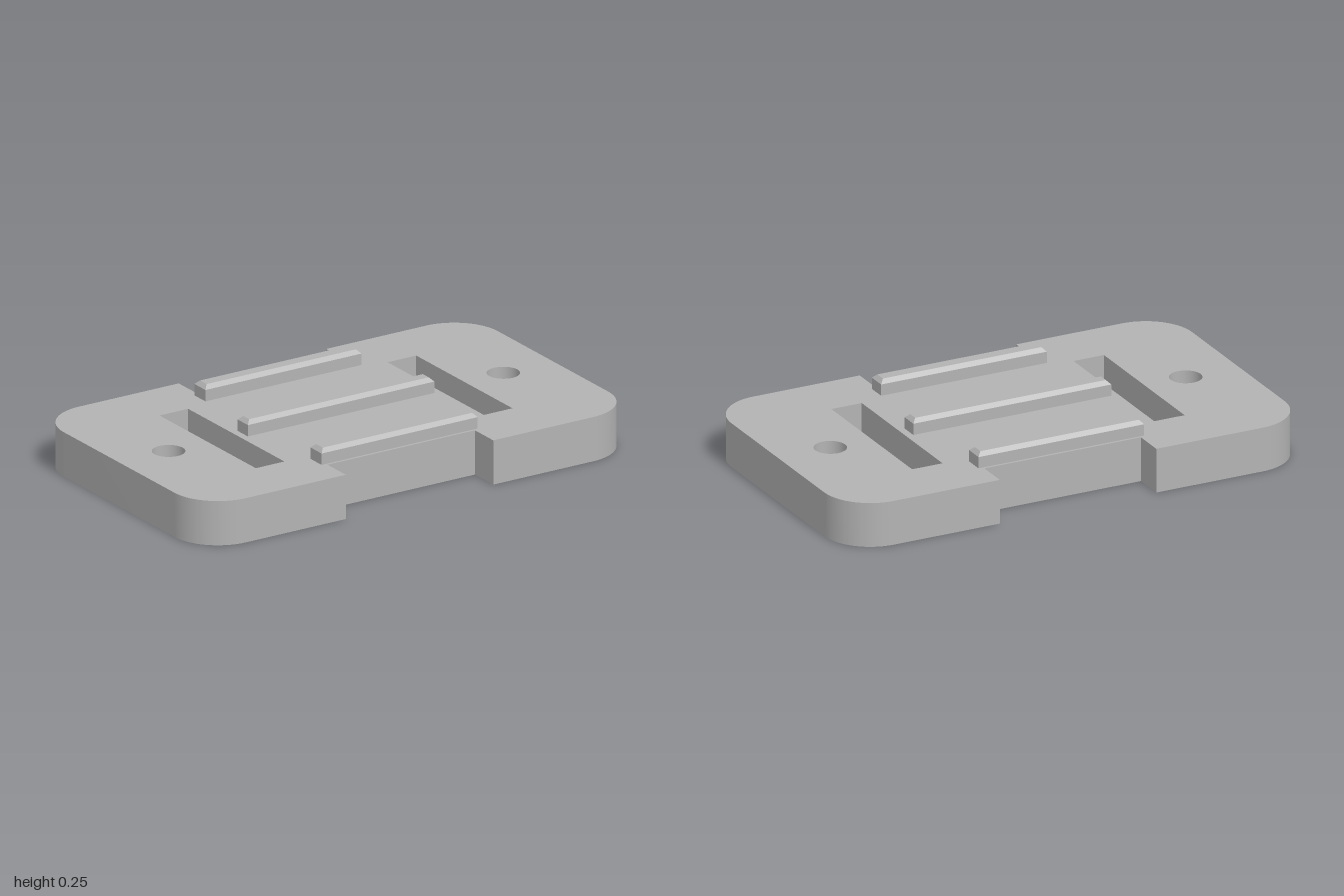
import * as THREE from 'three';
import { toCreasedNormals } from 'three/addons/utils/BufferGeometryUtils.js';

const W = 1, D = 0.59, H = 0.183, R = 0.2;

// Plan outlines use (x, z) as their two coordinates
function polygon(points) {
  return new THREE.Shape(points.map(([x, z]) => new THREE.Vector2(x, z)));
}

function circle(x, z, r) {
  return new THREE.Shape().absarc(x, z, r, 0, Math.PI * 2, false);
}

// Rounded rectangle with a notch in the front and back edges
function plateOutline() {
  const n = 0.34, d = 0.46;
  const s = new THREE.Shape();
  s.moveTo(-W + R, -D);
  s.lineTo(-n, -D).lineTo(-n, -d).lineTo(n, -d).lineTo(n, -D).lineTo(W - R, -D);
  s.absarc(W - R, -D + R, R, -Math.PI / 2, 0, false);
  s.absarc(W - R, D - R, R, 0, Math.PI / 2, false);
  s.lineTo(n, D).lineTo(n, d).lineTo(-n, d).lineTo(-n, D).lineTo(-W + R, D);
  s.absarc(-W + R, D - R, R, Math.PI / 2, Math.PI, false);
  s.absarc(-W + R, -D + R, R, Math.PI, Math.PI * 1.5, false);
  return s;
}

// Vertical wall along an outline; faces outward, or inward for a hole
function wall(shape, y0, y1, isHole) {
  const pts = shape.getPoints(16).filter((p, i, all) => p.distanceTo(all[(i + 1) % all.length]) > 1e-5);
  if (THREE.ShapeUtils.isClockWise(pts) !== isHole) pts.reverse();
  const pos = [];
  pts.forEach((a, i) => {
    const b = pts[(i + 1) % pts.length];
    pos.push(a.x, y0, a.y, a.x, y1, a.y, b.x, y1, b.y);
    pos.push(a.x, y0, a.y, b.x, y1, b.y, b.x, y0, b.y);
  });
  const g = new THREE.BufferGeometry();
  g.setAttribute('position', new THREE.Float32BufferAttribute(pos, 3));
  return toCreasedNormals(g, 0.6);
}

// Flat face with holes, looking up or down
function face(shape, holes, y, up) {
  const s = shape.clone();
  s.holes = holes;
  return new THREE.ShapeGeometry(s, 16).rotateX(up ? -Math.PI / 2 : Math.PI / 2).translate(0, y, 0);
}

// Bar with a chamfered top edge all around
function railGeometry(length, width, height, chamfer) {
  const g = new THREE.BoxGeometry(length, height, width, 1, 2, 1).toNonIndexed();
  const p = g.attributes.position;
  for (let i = 0; i < p.count; i++) {
    const y = p.getY(i);
    if (y > height / 4) {
      p.setX(i, p.getX(i) - Math.sign(p.getX(i)) * chamfer);
      p.setZ(i, p.getZ(i) - Math.sign(p.getZ(i)) * chamfer);
    } else if (y > -height / 4) {
      p.setY(i, height / 2 - chamfer);
    }
  }
  g.computeVertexNormals();
  return g.translate(0, height / 2, 0);
}

export function createModel() {
  const model = new THREE.Group();
  model.name = 'mountingPlate';
  const grey = new THREE.MeshStandardMaterial({ color: 0xb3b3b3 });
  grey.name = 'grey';

  const add = (name, geometry, parent = model) => {
    const mesh = new THREE.Mesh(geometry, grey);
    mesh.name = name;
    parent.add(mesh);
    return mesh;
  };

  // Openings that pass right through: strap slots and screw holes
  const through = [];
  for (const s of [-1, 1]) {
    through.push(polygon([[s * 0.46, -0.34], [s * 0.592, -0.34], [s * 0.592, 0.34], [s * 0.46, 0.34]]));
    through.push(circle(s * 0.772, 0, 0.065));
  }

  // Recesses in the underside: four round sockets and an arrow
  const recesses = [];
  for (const x of [-0.467, 0.467]) {
    for (const z of [-0.466, 0.466]) {
      recesses.push({ name: 'roundSocket', shape: circle(x, z, 0.052), depth: 0.1 });
    }
  }
  recesses.push({
    name: 'arrowRecess',
    depth: 0.04,
    shape: polygon([
      [0.665, 0.27], [0.785, 0.27], [0.785, 0.215], [0.935, 0.325],
      [0.785, 0.435], [0.785, 0.38], [0.665, 0.38],
    ]),
  });

  // Plate body
  const plate = new THREE.Group();
  plate.name = 'plate';
  model.add(plate);
  const outline = plateOutline();
  add('plateTop', face(outline, through, H, true), plate);
  add('plateBottom', face(outline, [...through, ...recesses.map((r) => r.shape)], 0, false), plate);
  add('plateEdge', wall(outline, 0, H, false), plate);
  through.forEach((s) => add('openingWall', wall(s, 0, H, true), plate));
  recesses.forEach(({ name, shape, depth }) => {
    add(name + 'Wall', wall(shape, 0, depth, true), plate);
    add(name + 'Floor', face(shape, [], depth, false), plate);
  });

  // Raised rails across the top
  const rails = [
    ['backRail', 0.72, 0.079, -0.41],
    ['middleRail', 0.86, 0.073, 0],
    ['frontRail', 0.72, 0.079, 0.41],
  ];
  for (const [name, length, width, z] of rails) {
    add(name, railGeometry(length, width, 0.063, 0.016)).position.set(0, H, z);
  }

  return model;
}
